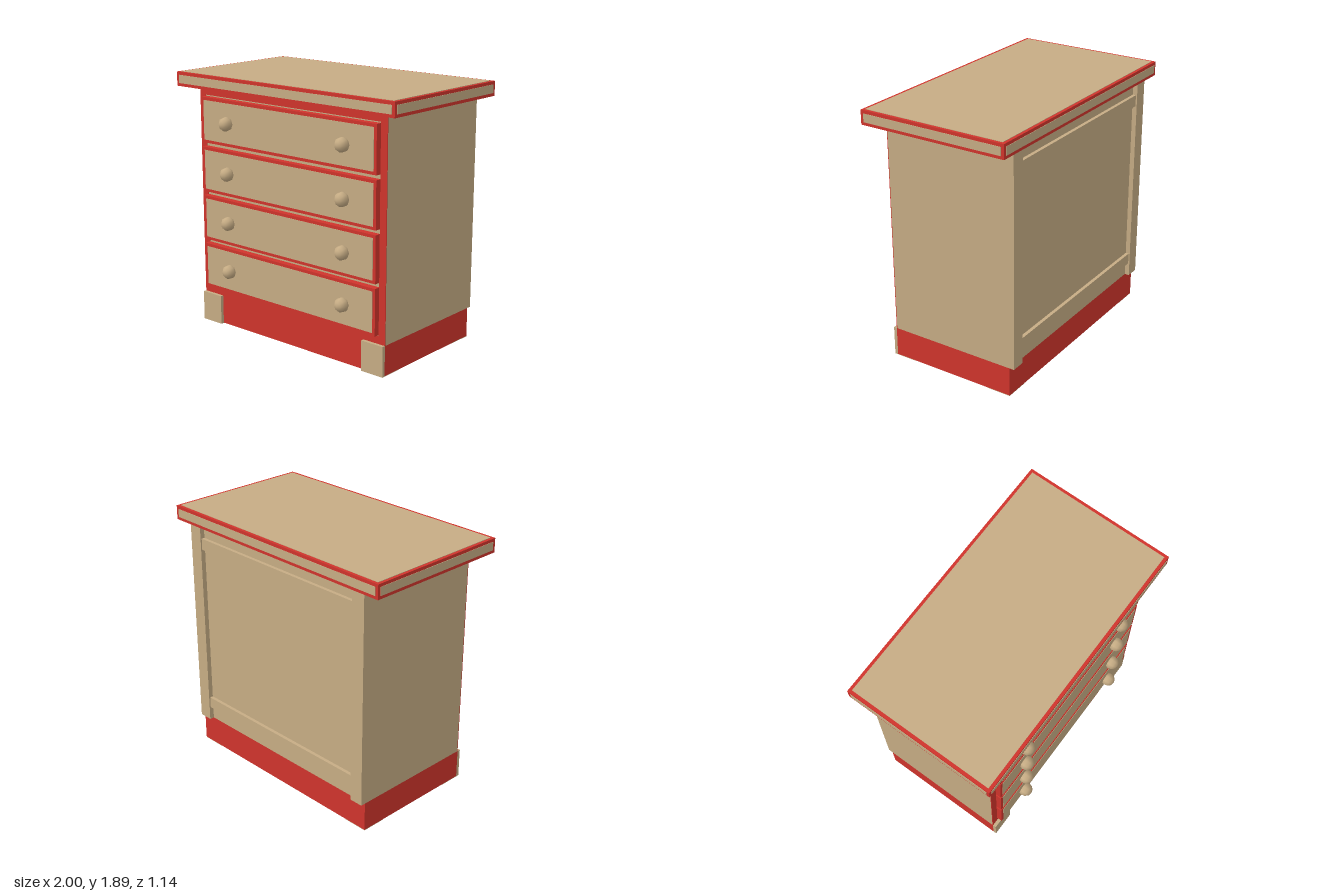
import * as THREE from 'three';

const wood = new THREE.MeshStandardMaterial({ color: 0xc6ac84 });
wood.name = 'tan wood';
const red = new THREE.MeshStandardMaterial({ color: 0xd0342c });
red.name = 'red paint';

// Box given by its minimum and maximum corners
function box(parent, name, material, [x0, y0, z0], [x1, y1, z1]) {
  const mesh = new THREE.Mesh(new THREE.BoxGeometry(x1 - x0, y1 - y0, z1 - z0), material);
  mesh.position.set((x0 + x1) / 2, (y0 + y1) / 2, (z0 + z1) / 2);
  mesh.name = name;
  parent.add(mesh);
  return mesh;
}

// Red box with a thin wooden inlay on each listed face, leaving a red border
function inlaidBox(parent, name, min, max, border, faces) {
  box(parent, name, red, min, max);
  const proud = 0.003;
  for (const [axis, side] of faces) {
    const a = min.map((v) => v + border);
    const b = max.map((v) => v - border);
    const face = side > 0 ? max[axis] : min[axis];
    a[axis] = side > 0 ? face - 0.002 : face - proud;
    b[axis] = side > 0 ? face + proud : face + 0.002;
    box(parent, name + 'Inlay', wood, a, b);
  }
}

function createDrawer(y) {
  const drawer = new THREE.Group();
  drawer.name = 'drawer';
  inlaidBox(drawer, 'drawerFront', [-0.81, y, 0.45], [0.81, y + 0.335, 0.497], 0.022, [[2, 1]]);
  for (const s of [-1, 1]) {
    const knob = new THREE.Mesh(new THREE.SphereGeometry(0.053, 8, 6), wood);
    knob.name = 'knob';
    knob.rotation.x = Math.PI / 2;
    knob.position.set(s * 0.54, y + 0.168, 0.52);
    drawer.add(knob);
  }
  return drawer;
}

export function createModel() {
  const model = new THREE.Group();
  model.name = 'chestOfDrawers';

  // Plinth and carcass
  box(model, 'plinth', red, [-0.865, 0.003, -0.515], [0.865, 0.22, 0.455]);
  box(model, 'carcass', wood, [-0.865, 0.22, -0.515], [0.865, 1.785, 0.45]);

  // Red face frame around the drawers
  box(model, 'topFrameRail', red, [-0.865, 1.73, 0.45], [0.865, 1.785, 0.455]);
  box(model, 'bottomFrameRail', red, [-0.865, 0.22, 0.45], [0.865, 0.275, 0.455]);

  for (const s of [-1, 1]) {
    const [outer, stile, post, foot] = [0.865, 0.81, 0.76, 0.68];
    const span = (inner) => (s > 0 ? [inner, outer] : [-outer, -inner]);

    const [sx0, sx1] = span(stile);
    box(model, 'frameStile', red, [sx0, 0.275, 0.45], [sx1, 1.73, 0.455]);

    // Posts on the back
    const [px0, px1] = span(post);
    box(model, 'backPost', wood, [px0, 0.22, -0.55], [px1, 1.785, -0.515]);

    // Front feet, and the foot pads under every corner
    const [fx0, fx1] = span(foot);
    box(model, 'frontFoot', wood, [fx0, 0, 0.455], [fx1, 0.22, 0.48]);
    box(model, 'frontFootPad', wood, [fx0, 0, 0.295], [fx1, 0.004, 0.455]);
    box(model, 'backFootPad', wood, [fx0, 0, -0.515], [fx1, 0.004, -0.33]);
  }

  // Rails across the back
  for (const y of [0.32, 1.61]) {
    box(model, 'backRail', wood, [-0.76, y, -0.54], [0.76, y + 0.085, -0.515]);
  }

  for (let i = 0; i < 4; i++) model.add(createDrawer(0.284 + i * 0.3675));

  // Table top, inlaid on every face
  inlaidBox(model, 'tableTop', [-0.997, 1.788, -0.567], [0.997, 1.892, 0.557], 0.022,
    [[0, -1], [0, 1], [1, -1], [1, 1], [2, -1], [2, 1]]);

  return model;
}
